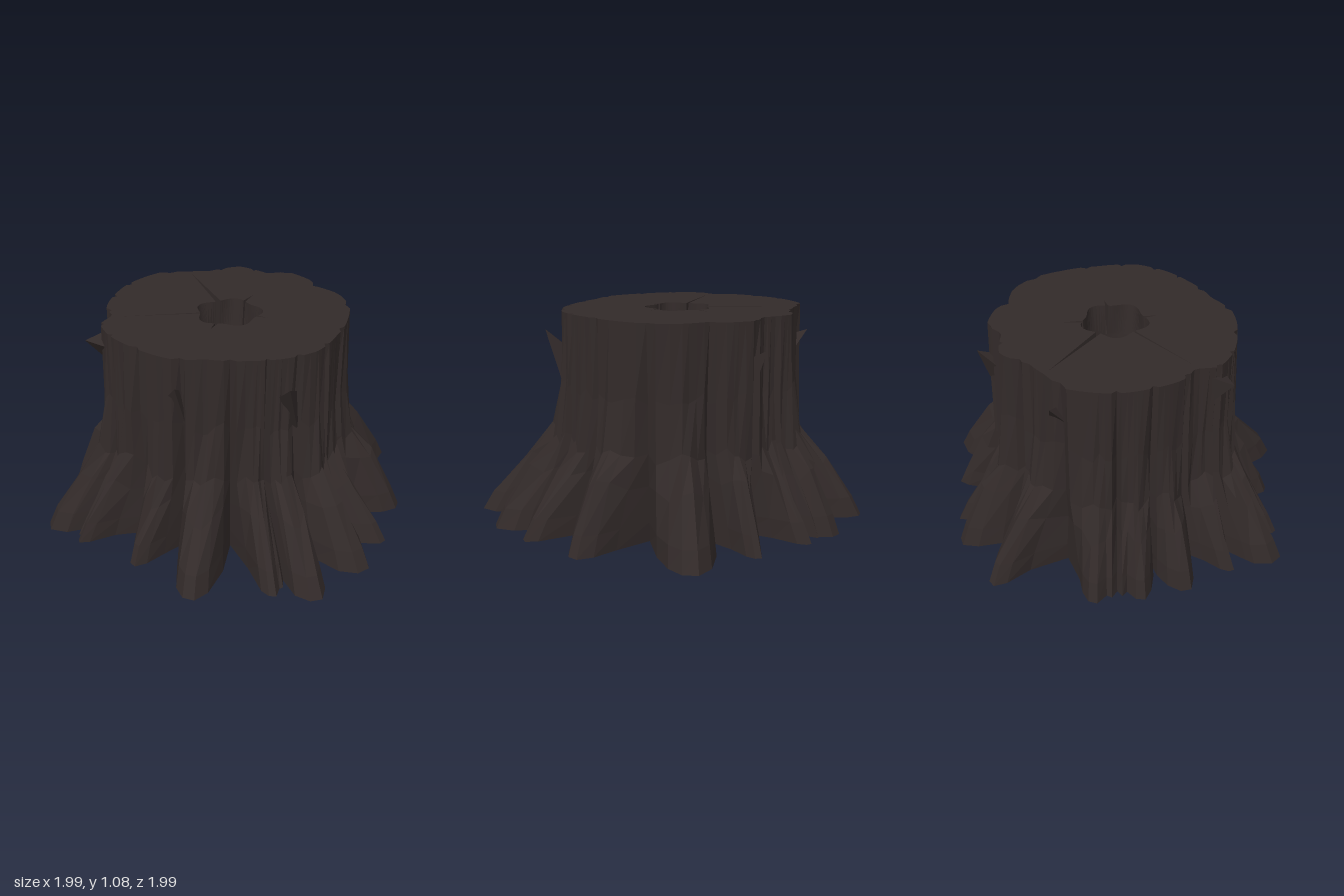
import * as THREE from 'three';

const CZ = -0.05; // z of the trunk's axis
const TOP = 1.085;

// roots, clockwise from the back: tip x, tip z, half width, radius of the valley after it
const ROOTS = [
  [0.14, -1.0, 0.055, 0.57], [0.46, -0.83, 0.075, 0.79], [0.59, -0.68, 0.035, 0.52],
  [0.78, -0.42, 0.04, 0.56], [0.99, -0.1, 0.1, 0.56], [0.78, 0.45, 0.075, 0.5],
  [0.54, 0.71, 0.05, 0.73], [0.33, 0.88, 0.095, 0.52], [0.01, 0.99, 0.08, 0.84],
  [-0.17, 0.88, 0.045, 0.51], [-0.55, 0.74, 0.08, 0.52], [-0.71, 0.38, 0.05, 0.57],
  [-0.9, 0.08, 0.035, 0.86], [-1.0, -0.11, 0.09, 0.76], [-0.84, -0.3, 0.035, 0.6],
  [-0.71, -0.54, 0.07, 0.58], [-0.55, -0.71, 0.06, 0.79], [-0.36, -0.85, 0.06, 0.6],
];

// outline of the sawn top, clockwise from the back
const OUTLINE = [
  [0.01, -0.64], [0.13, -0.6], [0.3, -0.6], [0.4, -0.44], [0.51, -0.42], [0.57, -0.27],
  [0.56, -0.17], [0.62, -0.04], [0.6, 0.12], [0.52, 0.25], [0.38, 0.4], [0.2, 0.53],
  [0.03, 0.54], [-0.12, 0.5], [-0.31, 0.4], [-0.45, 0.34], [-0.58, 0.14], [-0.64, -0.03],
  [-0.64, -0.17], [-0.55, -0.24], [-0.55, -0.35], [-0.46, -0.49], [-0.35, -0.6], [-0.13, -0.69],
];

// cracks running out from the hollow: direction x, z (from the axis) and length
const CRACKS = [
  [0, -1, 0.56], [-0.95, -0.3, 0.58], [0.2, -0.15, 0.25], [0.13, 0.13, 0.21], [-0.13, 0.12, 0.22],
];

// height and how far each ring spreads from the top outline towards the root tips
const LEVELS = [[0.01, 1], [0.11, 0.87], [0.31, 0.5], [0.45, 0.16], [0.72, 0.02], [TOP, 0]];

function seeded(seed) {
  return () => (seed = (seed * 16807) % 2147483647) / 2147483647;
}

// polar coordinates about the trunk axis, with the angle always increasing
function polar(points) {
  let last = -Infinity;
  return points.map(([x, z]) => {
    let a = Math.atan2(z - CZ, x);
    while (a < last) a += 2 * Math.PI;
    last = a;
    return { a, r: Math.hypot(x, z - CZ) };
  });
}

const rim = polar(OUTLINE);
function rimRadius(angle) {
  const turn = 2 * Math.PI;
  const a = rim[0].a + ((((angle - rim[0].a) % turn) + turn) % turn);
  for (let i = 0; i < rim.length; i++) {
    const p = rim[i];
    const q = rim[i + 1] || { a: rim[0].a + turn, r: rim[0].r };
    if (a <= q.a) return p.r + ((q.r - p.r) * (a - p.a)) / (q.a - p.a);
  }
  return rim[0].r;
}

const onAxis = (a, r, y) => new THREE.Vector3(Math.cos(a) * r, y, CZ + Math.sin(a) * r);

// each column pairs a point on the ground with an angle on the sawn top;
// a higher power makes it sink back into the trunk sooner
function makeColumns() {
  const tips = polar(ROOTS);
  const n = tips.length;
  const columns = [];
  tips.forEach(({ a, r }, i) => {
    const [, , w, valley] = ROOTS[i];
    const valleyBefore = ROOTS[(i + n - 1) % n][3];
    const before = i ? tips[i - 1].a : tips[n - 1].a - 2 * Math.PI;
    const after = i < n - 1 ? tips[i + 1].a : tips[0].a + 2 * Math.PI;
    const left = (before + a) / 2, right = (a + after) / 2;
    const slim = w < 0.055 ? 1.35 : 1;
    // side is limited so that neighbouring roots never cross
    const add = (radius, side, limit, t, power) => {
      const most = radius * Math.tan(Math.abs(limit - a)) * 0.9;
      const s = THREE.MathUtils.clamp(side, -most, most);
      const base = onAxis(a, radius, 0);
      base.x -= Math.sin(a) * s;
      base.z += Math.cos(a) * s;
      columns.push({ base, top: THREE.MathUtils.lerp(a, limit, t), power: power * slim, isValley: false });
    };
    add(r * 0.45 + valleyBefore * 0.55, -w * 1.45, left, 0.75, 1.3);
    add(r - 0.03 - w * 0.5, -w, left, 0.4, 1.1);
    add(r, -w * 0.35, left, 0.1, 1);
    add(r - 0.01, w * 0.4, right, 0.1, 1);
    add(r - 0.03 - w * 0.6, w, right, 0.4, 1.1);
    add(r * 0.45 + valley * 0.55, w * 1.45, right, 0.75, 1.3);
    columns.push({ base: onAxis(right, valley, 0), top: right, power: 1.8, isValley: true });
  });
  return columns;
}

// one closed surface: bark, sawn top, hollow and underside
function stumpGeometry() {
  const columns = makeColumns();
  const random = seeded(71);
  const rings = LEVELS.map(([y, spread], level) => columns.map(({ base, top, power, isValley }) => {
    const middle = level > 1 && level < LEVELS.length - 1;
    let r = rimRadius(top);
    if (isValley) r *= middle ? 0.92 : 0.97;
    if (middle) r += (random() - 0.5) * 0.025;
    const p = onAxis(top, r, 0).lerp(base, spread ** power);
    p.y = y + (middle ? (random() - 0.5) * 0.08 : 0);
    return p;
  }));

  // hollow, with the column nearest each crack pulled outwards
  const hole = columns.map(({ top }) => 0.16 + 0.015 * Math.sin(top * 5));
  for (const [x, z, length] of CRACKS) {
    let best = 0, score = -2;
    columns.forEach(({ top }, i) => {
      const s = (Math.cos(top) * x + Math.sin(top) * z) / Math.hypot(x, z);
      if (s > score) { score = s; best = i; }
    });
    hole[best] = Math.min(length, rimRadius(columns[best].top) * 0.94);
  }
  rings.push(columns.map(({ top }, i) => onAxis(top, hole[i], TOP)));
  rings.push(columns.map(({ top }) => onAxis(top, 0.15, 0.92)));
  // squarish waist, then a flare towards the ground
  rings.push(columns.map(({ top }) => {
    const square = 0.09 / Math.max(Math.abs(Math.cos(top)), Math.abs(Math.sin(top)));
    const p = onAxis(top, Math.min(square, 0.115), 0.5);
    return p.add(new THREE.Vector3(-0.01, 0, 0.03));
  }));
  rings.push(columns.map(({ top }) => onAxis(top, 0.18, 0.03)));

  // ragged underside
  rings.push(columns.map(({ top, isValley }) => onAxis(top, isValley ? 0.32 : 0.42, 0.015 + random() * 0.05)));

  const positions = [];
  const n = columns.length;
  rings.forEach((ring, i) => {
    const next = rings[(i + 1) % rings.length];
    for (let j = 0; j < n; j++) {
      const k = (j + 1) % n;
      for (const p of [ring[j], next[j], ring[k], ring[k], next[j], next[k]]) positions.push(p.x, p.y, p.z);
    }
  });
  const geometry = new THREE.BufferGeometry();
  geometry.setAttribute('position', new THREE.Float32BufferAttribute(positions, 3));
  geometry.computeVertexNormals();
  return geometry;
}

// a three-sided sliver of wood pointing from its root to its tip
function splinterGeometry(from, to, radius) {
  const start = new THREE.Vector3(...from), end = new THREE.Vector3(...to);
  const axis = end.clone().sub(start);
  const geometry = new THREE.ConeGeometry(radius, axis.length(), 3).toNonIndexed();
  geometry.applyQuaternion(new THREE.Quaternion().setFromUnitVectors(new THREE.Vector3(0, 1, 0), axis.normalize()));
  geometry.translate(...start.add(end).multiplyScalar(0.5).toArray());
  geometry.computeVertexNormals();
  return geometry;
}

export function createModel() {
  const group = new THREE.Group();
  group.name = 'treeStump';
  const bark = new THREE.MeshStandardMaterial({ color: 0x322a29 });
  bark.name = 'darkBark';

  const add = (name, geometry) => {
    const mesh = new THREE.Mesh(geometry, bark);
    mesh.name = name;
    group.add(mesh);
  };
  add('trunkAndRoots', stumpGeometry());

  // splinters: root, tip, radius
  [
    [[-0.56, 0.96, -0.14], [-0.72, 1.01, -0.17], 0.12],
    [[0.09, 0.77, 0.46], [0.01, 0.97, 0.64], 0.11],
    [[-0.05, 0.86, -0.6], [-0.06, 0.96, -0.72], 0.07],
    [[0.47, 0.83, -0.38], [0.55, 0.95, -0.46], 0.08],
    [[-0.41, 0.8, 0.28], [-0.46, 0.95, 0.38], 0.09],
  ].forEach(([from, to, radius]) => add('splinter', splinterGeometry(from, to, radius)));

  return group;
}
